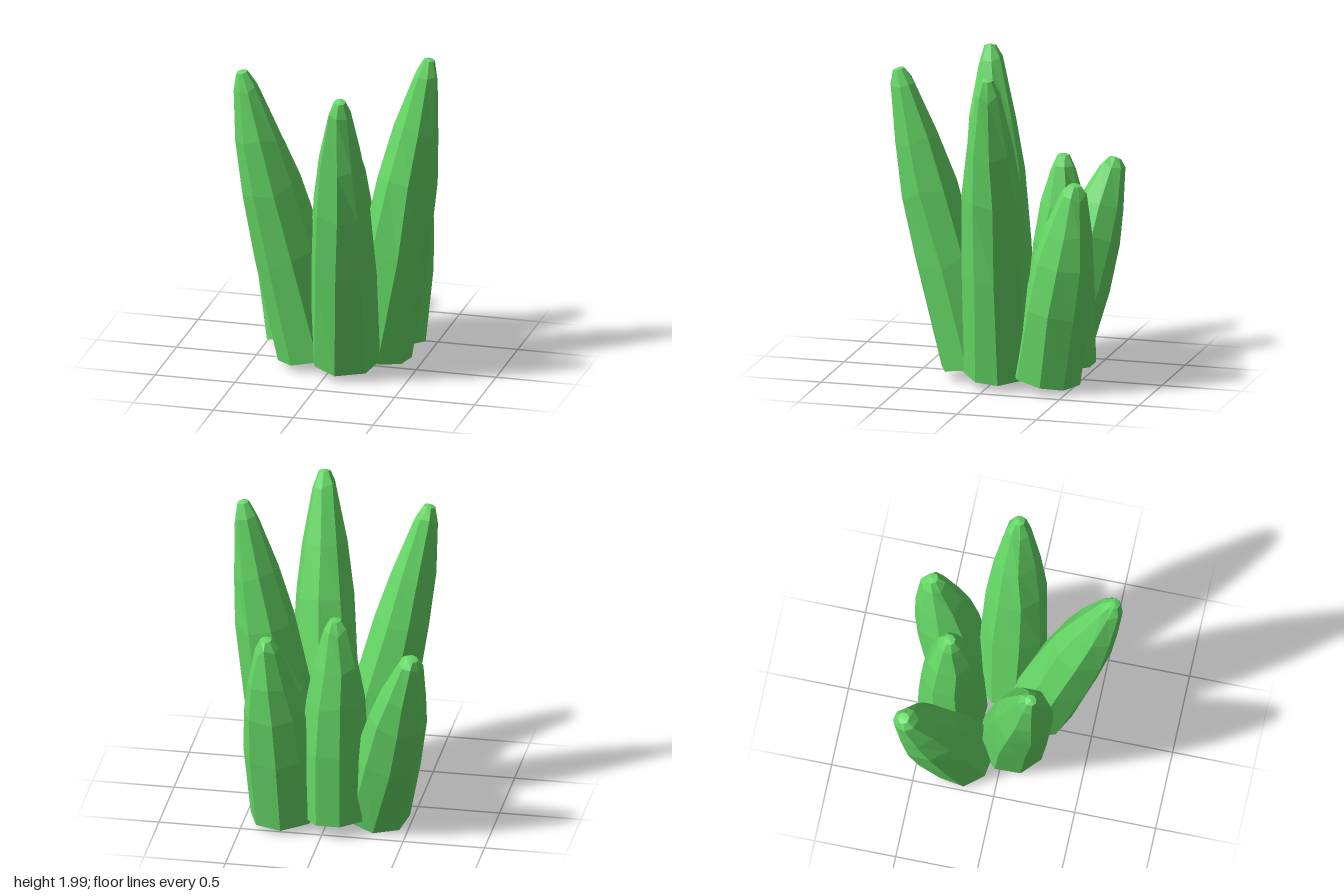
import * as THREE from 'three';

const SIDES = 8;
// Open at the bottom: [radius, fraction of length]
const PROFILE = [
  [0.212, 0], [0.205, 0.35], [0.182, 0.59], [0.14, 0.76], [0.074, 0.945], [0.036, 0.995], [0, 1],
];

// Base centre, tip, width factor and twist of every leaf
const LEAVES = [
  { name: 'frontLeaf', base: [0.1, 0.11, 0.15], tip: [0.185, 1.93, 0.605], width: 1, twist: 0 },
  { name: 'leftLeaf', base: [0.24, 0.09, -0.045], tip: [0.565, 2, -0.065], width: 1, twist: 0.3 },
  { name: 'rightLeaf', base: [-0.14, 0.09, 0.045], tip: [-0.53, 1.925, 0.235], width: 1, twist: 0.4 },
  { name: 'backRightLeaf', base: [-0.28, 0.08, -0.24], tip: [-0.565, 1.265, -0.545], width: 1, twist: 0.2 },
  { name: 'backLeaf', base: [-0.045, 0.1, -0.35], tip: [-0.06, 1.4, -0.365], width: 1, twist: 0.4 },
  { name: 'backLeftLeaf', base: [0.25, 0.08, -0.345], tip: [0.335, 1.32, -0.555], width: 1.02, twist: 0.05 },
];

// Repeatable wobble in the range -1..1
function wobble(a, b, c) {
  const s = Math.sin(a * 12.99 + b * 78.23 + c * 37.72) * 43758.5;
  return (s - Math.floor(s)) * 2 - 1;
}

// Faceted tapering spike running from base to tip
function makeLeaf({ name, base, tip, width, twist }, id, material) {
  const from = new THREE.Vector3(...base);
  const axis = new THREE.Vector3(...tip).sub(from);
  const length = axis.length();
  const profile = PROFILE.map(([r, t]) => new THREE.Vector2(r * width, t * length));
  const geometry = new THREE.LatheGeometry(profile, SIDES, twist);

  // Uneven facets: shift each ring vertex a little, keeping the seam closed
  const pos = geometry.attributes.position;
  const rings = PROFILE.length;
  for (let i = 0; i < pos.count; i++) {
    const ring = i % rings;
    const side = Math.floor(i / rings) % SIDES;
    if (ring === rings - 1) continue;
    const spread = 1 + 0.025 * wobble(ring, side, id);
    const lift = ring === 0 || ring === rings - 2 ? 0 : 0.03 * wobble(side, id, ring);
    const turn = 0.08 * wobble(id, ring, side);
    const x = pos.getX(i) * spread, z = pos.getZ(i) * spread;
    pos.setXYZ(i,
      x * Math.cos(turn) - z * Math.sin(turn),
      pos.getY(i) + lift,
      x * Math.sin(turn) + z * Math.cos(turn));
  }
  geometry.computeVertexNormals();

  const leaf = new THREE.Mesh(geometry, material);
  leaf.name = name;
  leaf.position.copy(from);
  leaf.quaternion.setFromUnitVectors(new THREE.Vector3(0, 1, 0), axis.normalize());
  return leaf;
}

export function createModel() {
  const group = new THREE.Group();
  group.name = 'spikyPlant';
  const material = new THREE.MeshStandardMaterial({
    color: 0x66d966, flatShading: true, side: THREE.DoubleSide,
  });
  LEAVES.forEach((leaf, id) => group.add(makeLeaf(leaf, id + 1, material)));
  return group;
}
